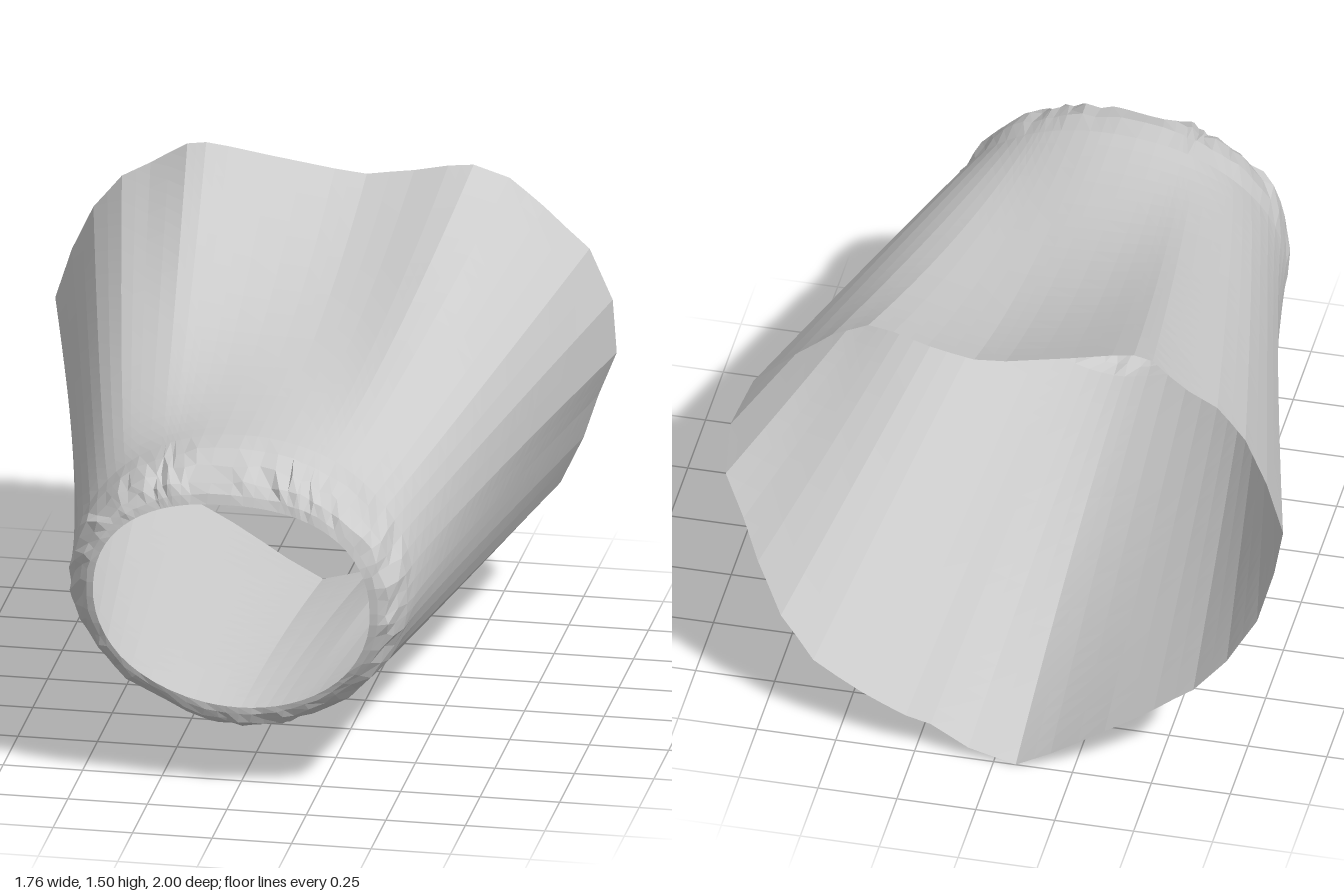
import * as THREE from 'three';

// Wide rear opening, clockwise from the top middle: [x, y]
const rearOutline = [
  [0.1, 1.42], [0.25, 1.445], [0.36, 1.472], [0.44, 1.482], [0.55, 1.44], [0.66, 1.35], [0.8, 1.22],
  [0.87, 1.05], [0.88, 0.87], [0.82, 0.72], [0.77, 0.57], [0.69, 0.4], [0.58, 0.27], [0.42, 0.19],
  [0.28, 0.13], [0.2, 0.11], [0.08, 0.04], [-0.07, 0], [-0.18, 0.06], [-0.35, 0.17], [-0.5, 0.26],
  [-0.62, 0.34], [-0.72, 0.45], [-0.81, 0.6], [-0.86, 0.78], [-0.885, 0.93], [-0.83, 1.1],
  [-0.76, 1.25], [-0.67, 1.36], [-0.58, 1.41], [-0.46, 1.49], [-0.4, 1.5], [-0.33, 1.49], [-0.2, 1.465], [0, 1.43],
];
// Both rims lean: depth as a function of height, [y, z]
const rearDepth = [[0, -1], [0.15, -0.995], [0.22, -0.98], [0.3, -0.95], [0.55, -0.895], [0.87, -0.86], [1.3, -0.825], [1.43, -0.828], [1.5, -0.8]];
const frontDepth = [[0.2, 0.85], [0.29, 0.87], [0.45, 0.925], [0.65, 0.965], [0.85, 0.985], [1, 0.99]];

const lerp = THREE.MathUtils.lerp;
function sample(table, v) {
  if (v <= table[0][0]) return table[0][1];
  for (let i = 1; i < table.length; i++) {
    const [a, p] = table[i - 1], [b, q] = table[i];
    if (v <= b) return lerp(p, q, (v - a) / (b - a));
  }
  return table[table.length - 1][1];
}

let seed = 7;
function noise() {
  seed = (seed * 16807) % 2147483647;
  return seed / 2147483647 - 0.5;
}

// Midpoints keep the rear bands flat while the narrow end stays round
const rear = rearOutline.flatMap(([x, y], i) => {
  const [nx, ny] = rearOutline[(i + 1) % rearOutline.length];
  return [[x, y], [(x + nx) / 2, (y + ny) / 2]];
});

// Rounded loops of the narrow end, matched by angle to the rear points;
// top and low set how square (below 1) or pointed (above 1) each half is
const angles = rear.map(([x, y]) => Math.atan2((y - 0.72) / 0.78, x / 0.88));
function ring(cx, cy, rx, up, down, top, low) {
  return angles.map((a) => {
    const c = Math.cos(a), s = Math.sin(a), p = s > 0 ? top : low;
    return [cx + rx * Math.sign(c) * Math.abs(c) ** p, cy + (s > 0 ? up : down) * Math.sign(s) * Math.abs(s) ** p];
  });
}
const collar = ring(0.01, 0.668, 0.542, 0.475, 0.473, 0.95, 1.14);
const hole = ring(0.008, 0.67, 0.437, 0.335, 0.38, 0.85, 1);
const holeZ = hole.map(([x, y]) => sample(frontDepth, y) + 0.025 * x);
const collarZ = collar.map(([, y], i) => holeZ[i] - lerp(0.12, 0.25, (y - 0.195) / 0.95));

// Skin a list of equal-length closed loops
function loft(loops) {
  const n = loops[0].length, index = [];
  for (let r = 0; r < loops.length - 1; r++) {
    for (let i = 0; i < n; i++) {
      const a = r * n + i, b = r * n + ((i + 1) % n);
      index.push(a, a + n, b, b, a + n, b + n);
    }
  }
  const g = new THREE.BufferGeometry();
  g.setAttribute('position', new THREE.Float32BufferAttribute(loops.flat(2), 3));
  g.setIndex(index);
  g.computeVertexNormals();
  return g;
}

export function createModel() {
  const group = new THREE.Group();
  group.name = 'flaredSleeve';
  const material = new THREE.MeshStandardMaterial({ color: 0xcccccc, flatShading: true, side: THREE.DoubleSide });

  // Crumpled lip curling in to the narrow opening: [share of curl, share of depth, crumple]
  const lipRings = [[1, 1, 0], [0.77, 0.97, 0.006], [0.52, 0.89, 0.02], [0.27, 0.69, 0.02], [0.09, 0.38, 0.012], [0, 0, 0]];
  const lip = lipRings.map(([k, d, j]) => collar.map(([x, y], i) => [
    lerp(x, hole[i][0], k) + j * noise(),
    lerp(y, hole[i][1], k) + j * noise(),
    lerp(collarZ[i], holeZ[i], d) + j * noise(),
  ]));

  // Body flaring to the rear: diagonals open early, the top valley and the keel late
  const steps = 24, body = [];
  for (let s = 0; s <= steps; s++) {
    const u = s / steps;
    body.push(rear.map(([x, y], i) => {
      const rise = Math.sin(angles[i]);
      const widthPower = 1.15 - 0.22 * Math.sin(2 * angles[i]) ** 2;
      const heightPower = rise > 0 ? 0.97 + 1.23 * rise ** 8 : 0.92 + 0.63 * rise ** 4;
      return [
        lerp(collar[i][0], x, u ** widthPower),
        lerp(collar[i][1], y, u ** heightPower),
        lerp(collarZ[i], sample(rearDepth, y), u),
      ];
    }));
  }

  for (const [name, loops] of [['crumpledLip', lip], ['flaredBody', body]]) {
    const mesh = new THREE.Mesh(loft(loops), material);
    mesh.name = name;
    group.add(mesh);
  }
  return group;
}
